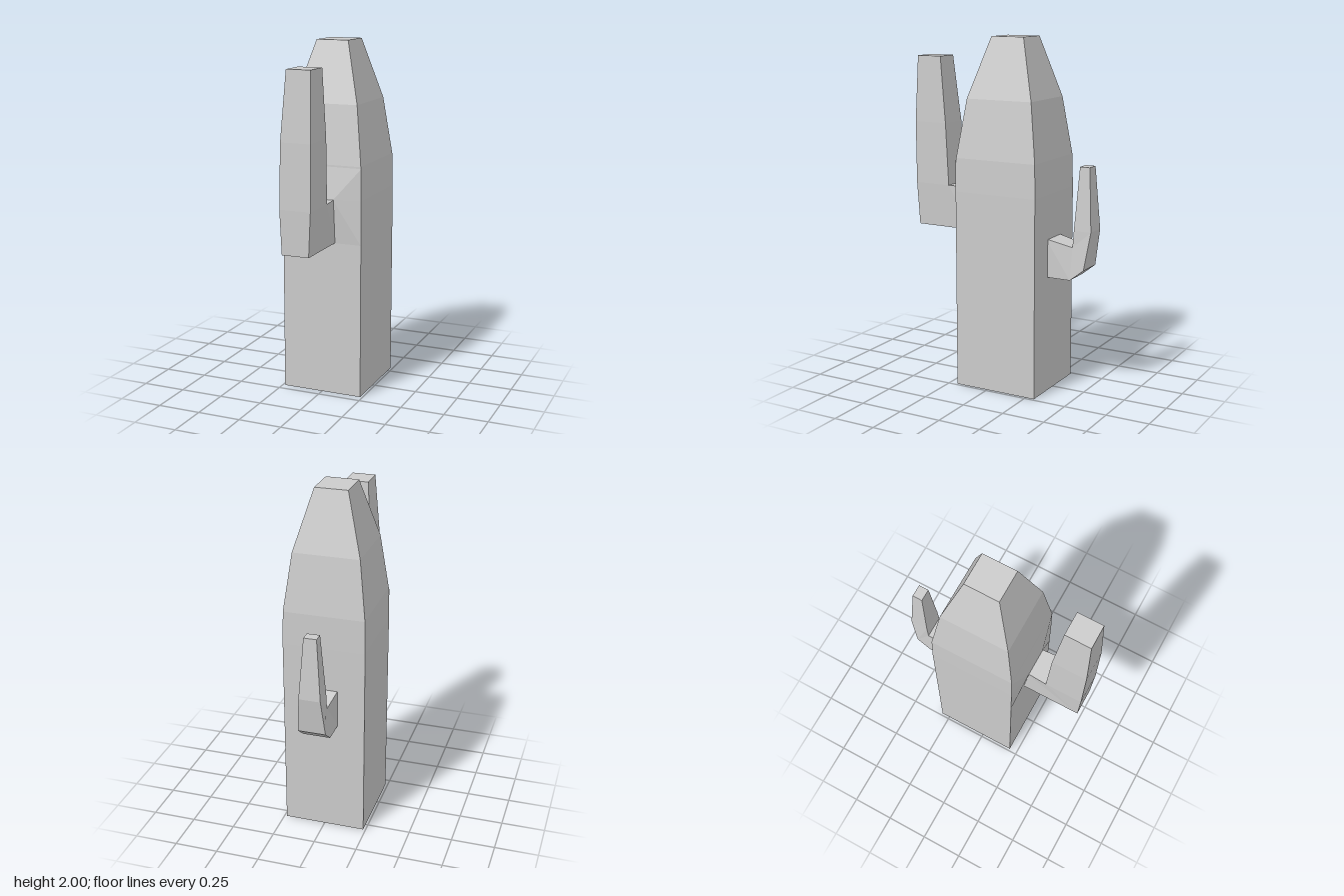
import * as THREE from 'three';
import { ConvexGeometry } from 'three/addons/geometries/ConvexGeometry.js';

const grey = new THREE.MeshStandardMaterial({ color: 0xcccccc, flatShading: true });

// Four-sided loft. Each section is a pair of edges, front and back: [xLeft, xRight, y, z].
function loft(name, sections) {
  const rings = sections.map(([a, b]) => [
    [a[0], a[2], a[3]], [a[1], a[2], a[3]],
    [b[1], b[2], b[3]], [b[0], b[2], b[3]],
  ]);
  const pos = [];
  const quad = (a, b, c, d) => pos.push(...a, ...b, ...c, ...a, ...c, ...d);
  for (let r = 0; r < rings.length - 1; r++) {
    const lo = rings[r], hi = rings[r + 1];
    for (let i = 0; i < 4; i++) {
      const j = (i + 1) % 4;
      quad(lo[i], lo[j], hi[j], hi[i]);
    }
  }
  quad(...[...rings[0]].reverse());
  quad(...rings[rings.length - 1]);
  const geo = new THREE.BufferGeometry();
  geo.setAttribute('position', new THREE.Float32BufferAttribute(pos, 3));
  geo.computeVertexNormals();
  const mesh = new THREE.Mesh(geo, grey);
  mesh.name = name;
  return mesh;
}

export function createModel() {
  const group = new THREE.Group();
  group.name = 'cactus';

  // Trunk: square column tapering to a flat tip; rows are y, half width, front z, back z
  const trunk = [
    [0, 0.236, 0.2, -0.302],
    [1.14, 0.236, 0.2, -0.302],
    [1.33, 0.232, 0.197, -0.298],
    [1.66, 0.19, 0.15, -0.252],
    [2, 0.094, 0.047, -0.153],
  ].map(([y, w, front, back]) => [[-w, w, y, front], [-w, w, y, back]]);
  group.add(loft('trunk', trunk));

  // Shallow swelling of the trunk where the front arm leaves it
  const bulge = [];
  for (const s of [-1, 1]) {
    for (const [x, y, z] of [[0.235, 1.32, 0.198], [0.235, 1.14, 0.2], [0.235, 0.89, 0.2],
      [0.08, 0.89, 0.2], [0.08, 1.14, 0.227]]) {
      bulge.push(new THREE.Vector3(s * x, y, z));
    }
  }
  const swelling = new THREE.Mesh(new ConvexGeometry(bulge), grey);
  swelling.name = 'trunkBulge';
  group.add(swelling);

  // Large front arm: out along +z, mitred, then up
  group.add(loft('frontArm', [
    [[-0.08, 0.08, 0.89, 0.19], [-0.08, 0.08, 1.14, 0.19]],
    [[-0.08, 0.077, 0.89, 0.547], [-0.088, 0.092, 1.14, 0.336]],
    [[-0.088, 0.092, 1.14, 0.555], [-0.088, 0.092, 1.14, 0.336]],
    [[-0.079, 0.095, 1.5, 0.555], [-0.079, 0.095, 1.5, 0.352]],
    [[-0.05, 0.088, 1.88, 0.537], [-0.05, 0.088, 1.88, 0.386]],
  ]));

  // Small back arm: out along -z, bevelled elbow, then up
  group.add(loft('backArm', [
    [[-0.08, 0.078, 0.89, -0.29], [-0.08, 0.078, 0.67, -0.29]],
    [[-0.065, 0.062, 0.855, -0.447], [-0.08, 0.078, 0.67, -0.44]],
    [[-0.065, 0.062, 0.855, -0.447], [-0.08, 0.078, 0.735, -0.522]],
    [[-0.063, 0.06, 0.95, -0.453], [-0.063, 0.06, 0.95, -0.556]],
    [[-0.038, 0.035, 1.305, -0.474], [-0.038, 0.035, 1.305, -0.533]],
  ]));

  return group;
}
